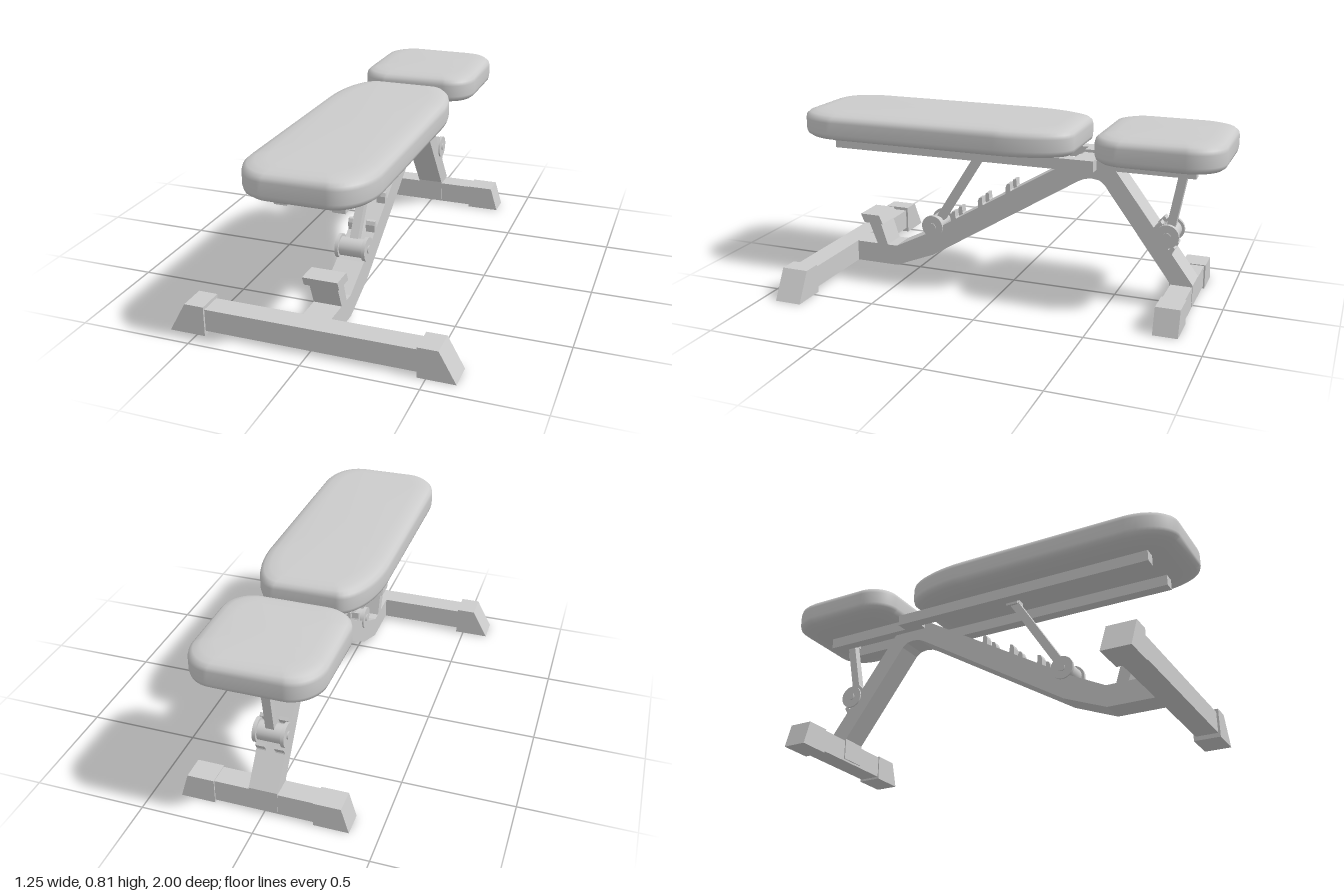
import * as THREE from 'three';

const material = new THREE.MeshStandardMaterial({ color: 0xcccccc });

export function createModel() {
  const bench = new THREE.Group();

  function add(name, geometry, x = 0, y = 0, z = 0) {
    const mesh = new THREE.Mesh(geometry, material);
    mesh.name = name;
    mesh.position.set(x, y, z);
    bench.add(mesh);
    return mesh;
  }

  // Box given by its limits on each axis
  function box(name, x0, x1, y0, y1, z0, z1) {
    return add(name, new THREE.BoxGeometry(x1 - x0, y1 - y0, z1 - z0),
      (x0 + x1) / 2, (y0 + y1) / 2, (z0 + z1) / 2);
  }

  // Side outline of [z, y] points, extruded across x
  function sideProfile(name, points, width, x = 0) {
    const shape = new THREE.Shape(points.map(([z, y]) => new THREE.Vector2(z, y)));
    const geometry = new THREE.ExtrudeGeometry(shape, { depth: width, bevelEnabled: false });
    geometry.translate(0, 0, -width / 2);
    geometry.rotateY(-Math.PI / 2);
    return add(name, geometry, x);
  }

  // Flat bar running between two [z, y] points
  function bar(name, [z0, y0], [z1, y1], thickness, width) {
    const length = Math.hypot(z1 - z0, y1 - y0);
    const mesh = add(name, new THREE.BoxGeometry(width, length, thickness),
      0, (y0 + y1) / 2, (z0 + z1) / 2);
    mesh.rotation.x = Math.atan2(z1 - z0, y1 - y0);
  }

  // Cylinder lying across the bench
  function axle(name, radius, width, x, y, z) {
    const geometry = new THREE.CylinderGeometry(radius, radius, width, 32);
    add(name, geometry.rotateZ(Math.PI / 2), x, y, z);
  }

  // Cushion: rounded plan outline, inset layer by layer
  function pad(name, halfWidth, zBack, zFront, back, front) {
    const layers = [[0.67, 0.08], [0.674, 0.05], [0.683, 0.02], [0.696, 0.004], [0.712, 0],
      [0.765, 0], [0.782, 0.004], [0.795, 0.018], [0.803, 0.045], [0.808, 0.09]];
    const steps = 12, count = 4 * (steps + 1);
    const positions = [], indices = [];
    for (const [y, inset] of layers) {
      for (let q = 0; q < 4; q++) {
        const sx = q === 0 || q === 3 ? 1 : -1;
        const sz = q < 2 ? 1 : -1;
        const [rx, rz] = (sz > 0 ? front : back).map((r) => Math.max(r - 0.6 * inset, 0.02));
        const cx = sx * (halfWidth - inset - rx);
        const cz = sz > 0 ? zFront - inset - rz : zBack + inset + rz;
        for (let s = 0; s <= steps; s++) {
          const a = (q + s / steps) * Math.PI / 2;
          positions.push(cx + rx * Math.cos(a), y, cz + rz * Math.sin(a));
        }
      }
    }
    const middle = (zBack + zFront) / 2;
    const bottom = layers.length * count, top = bottom + 1;
    positions.push(0, 0.67, middle, 0, 0.81, middle);
    for (let i = 0; i < count; i++) {
      const n = (i + 1) % count;
      for (let j = 0; j < layers.length - 1; j++) {
        const a = j * count + i, b = j * count + n;
        indices.push(a, a + count, b, b, a + count, b + count);
      }
      const last = (layers.length - 1) * count;
      indices.push(bottom, i, n, top, last + n, last + i);
    }
    const geometry = new THREE.BufferGeometry();
    geometry.setAttribute('position', new THREE.Float32BufferAttribute(positions, 3));
    geometry.setIndex(indices);
    geometry.computeVertexNormals();
    add(name, geometry);
  }

  // Cross foot with sloping end caps
  function foot(name, barHalf, y0, y1, z0, z1, inner, topX, outer, capTop, capZ0, capZ1) {
    box(name + 'Bar', -barHalf, barHalf, y0, y1, z0, z1);
    for (const s of [-1, 1]) {
      const points = [[inner, 0], [outer, 0], [topX, capTop], [inner, capTop]];
      const shape = new THREE.Shape(points.map(([x, y]) => new THREE.Vector2(s * x, y)));
      const geometry = new THREE.ExtrudeGeometry(shape, { depth: capZ1 - capZ0, bevelEnabled: false });
      add(name + 'EndCap', geometry, 0, 0, capZ0);
    }
  }

  // Cushions
  pad('backPad', 0.28, -0.335, 1, [0.14, 0.33], [0.15, 0.2]);
  pad('seatPad', 0.28, -1, -0.435, [0.13, 0.15], [0.13, 0.13]);

  // Bent main frame
  sideProfile('mainFrame', [
    [0.82, 0.02], [0.595, 0.02], [0.395, 0.1], [-0.33, 0.545], [-0.36, 0.56], [-0.395, 0.565],
    [-0.43, 0.56], [-0.455, 0.54], [-0.765, 0.12], [-0.765, 0.02], [-0.87, 0.02], [-0.87, 0.12],
    [-0.47, 0.655], [-0.327, 0.655], [0.435, 0.2], [0.595, 0.12], [0.82, 0.12],
  ], 0.126);

  // Feet
  foot('frontFoot', 0.5, 0.02, 0.12, 0.81, 0.915, 0.463, 0.55, 0.625, 0.135, 0.8, 0.925);
  foot('rearFoot', 0.25, 0.01, 0.112, -0.868, -0.77, 0.22, 0.34, 0.375, 0.116, -0.875, -0.765);

  // Support rails under the cushions
  for (const s of [-1, 1]) {
    box('backRail', s * 0.1225 - 0.0275, s * 0.1225 + 0.0275, 0.617, 0.668, -0.425, 0.855);
    box('seatRail', s * 0.07 - 0.025, s * 0.07 + 0.025, 0.617, 0.668, -0.865, -0.33);
  }

  // Handle post and plate at the front
  sideProfile('handlePost', [[0.695, 0.11], [0.64, 0.11], [0.68, 0.235], [0.745, 0.235]], 0.126);
  sideProfile('handlePlate', [[0.76, 0.228], [0.66, 0.228], [0.678, 0.27], [0.778, 0.27]], 0.156);

  // Adjustment struts with their top brackets
  bar('backStrut', [0.395, 0.245], [0.13, 0.665], 0.04, 0.038);
  bar('seatStrut', [-0.745, 0.335], [-0.805, 0.665], 0.038, 0.038);
  box('backStrutBracket', -0.03, 0.03, 0.645, 0.676, 0.1, 0.16);
  box('seatStrutBracket', -0.03, 0.03, 0.645, 0.676, -0.835, -0.78);

  // Pivot rollers resting in the notches
  for (const [name, y, z] of [['backRoller', 0.245, 0.395], ['seatRoller', 0.335, -0.745]]) {
    axle(name, 0.042, 0.12, 0, y, z);
    for (const s of [-1, 1]) {
      axle(name + 'Disc', 0.054, 0.016, s * 0.062, y, z);
      axle(name + 'Pin', 0.018, 0.006, s * 0.072, y, z);
    }
  }

  // Ladder teeth on both sides of the strut slot
  for (const s of [-1, 1]) {
    for (const [z, y] of [[0.285, 0.335], [0.145, 0.418], [0.005, 0.5]]) {
      sideProfile('backTooth', [[z + 0.012, y - 0.06], [z - 0.025, y - 0.06], [z - 0.01, y - 0.03],
        [z - 0.008, y], [z + 0.006, y - 0.003], [z + 0.013, y - 0.02]], 0.042, s * 0.042);
    }
    for (const [z, y] of [[-0.705, 0.4], [-0.765, 0.292]]) {
      sideProfile('seatTooth', [[z + 0.025, y - 0.06], [z + 0.025, y - 0.035], [z - 0.008, y],
        [z - 0.018, y - 0.012], [z - 0.005, y - 0.035], [z - 0.012, y - 0.06]].reverse(), 0.042, s * 0.042);
    }
  }

  return bench;
}
